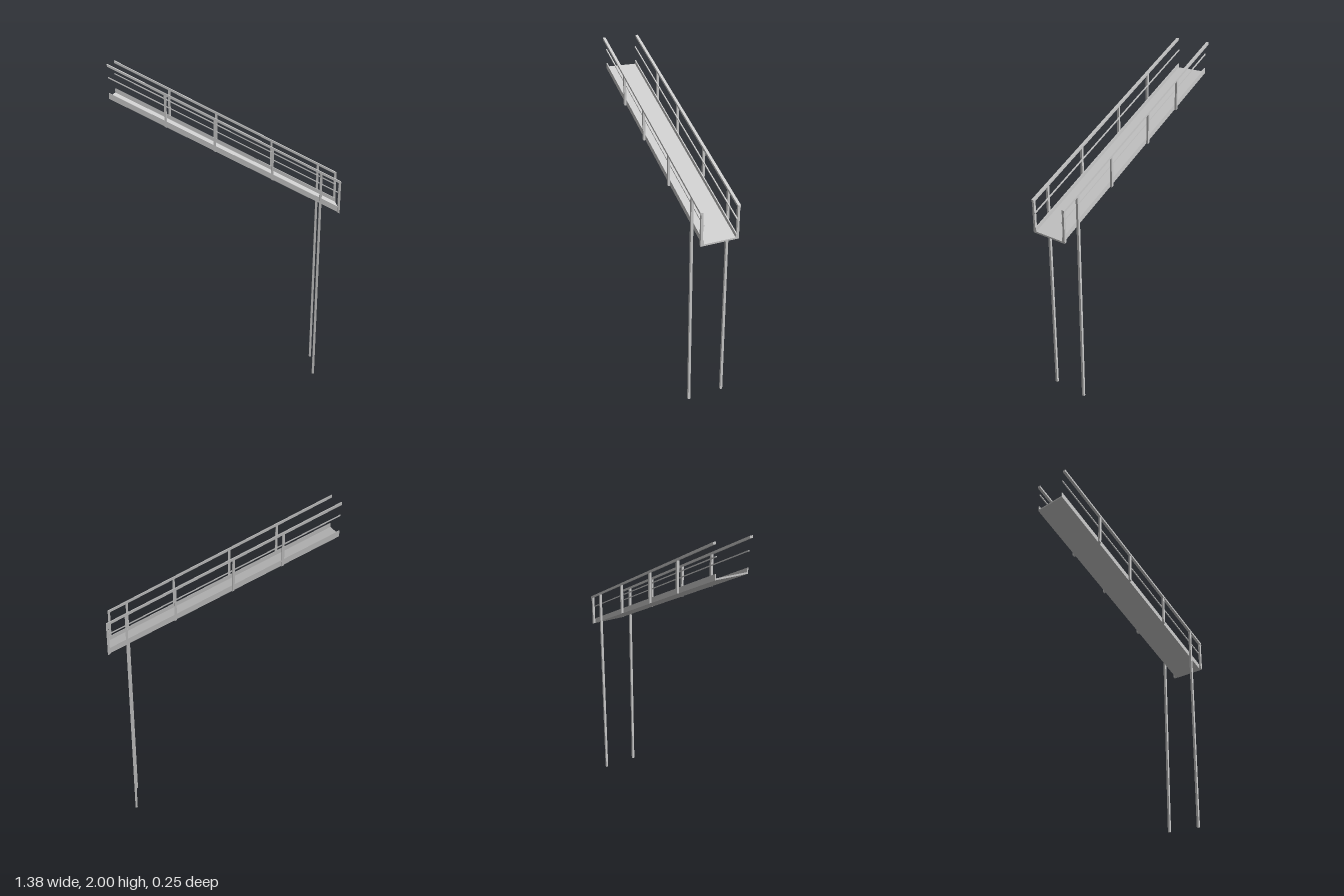
import * as THREE from 'three';

const SLOPE = -0.5;   // fall of the walkway along x
const HALF = 0.69;    // half length

export function createModel() {
  const model = new THREE.Group();
  model.name = 'inclinedWalkway';
  const mat = new THREE.MeshStandardMaterial({ color: 0xcccccc, flatShading: true });

  // Height of the walkway underside at x
  const base = (x) => 1.455 + SLOPE * x;

  // Box whose top follows the slope; its underside does too unless footY is given.
  // y0 and y1 are measured above the walkway underside.
  function slopedBox(name, x0, x1, y0, y1, z0, z1, footY) {
    const g = new THREE.BoxGeometry(x1 - x0, 1, z1 - z0);
    g.translate((x0 + x1) / 2, 0, (z0 + z1) / 2);
    const p = g.attributes.position;
    for (let i = 0; i < p.count; i++) {
      const b = base(p.getX(i));
      if (p.getY(i) > 0) p.setY(i, b + y1);
      else p.setY(i, footY === undefined ? b + y0 : footY);
    }
    g.computeVertexNormals();
    const mesh = new THREE.Mesh(g, mat);
    mesh.name = name;
    model.add(mesh);
  }

  // Walking surface
  slopedBox('deck', -HALF, HALF, 0, 0.01, -0.106, 0.106);

  for (const s of [1, -1]) {
    const side = s > 0 ? 'front' : 'back';
    const add = (name, x0, x1, y0, y1, zIn, zOut, footY) =>
      slopedBox(side + name, x0, x1, y0, y1,
        Math.min(s * zIn, s * zOut), Math.max(s * zIn, s * zOut), footY);

    // Long members
    add('ToeBoard', -HALF, HALF, 0, 0.034, 0.099, 0.106);
    add('MidRail', -HALF, HALF, 0.119, 0.126, 0.099, 0.106);
    add('HandRail', -HALF, HALF, 0.186, 0.2, 0.106, 0.124);

    // Railing posts
    for (const x of [-0.36, -0.07, 0.275, 0.683])
      add('Post', x - 0.007, x + 0.007, 0, 0.187, 0.106, 0.12);

    // Tall support leg up to the hand rail
    add('Leg', 0.563, 0.577, 0, 0.187, 0.106, 0.121, 0);
  }
  return model;
}
